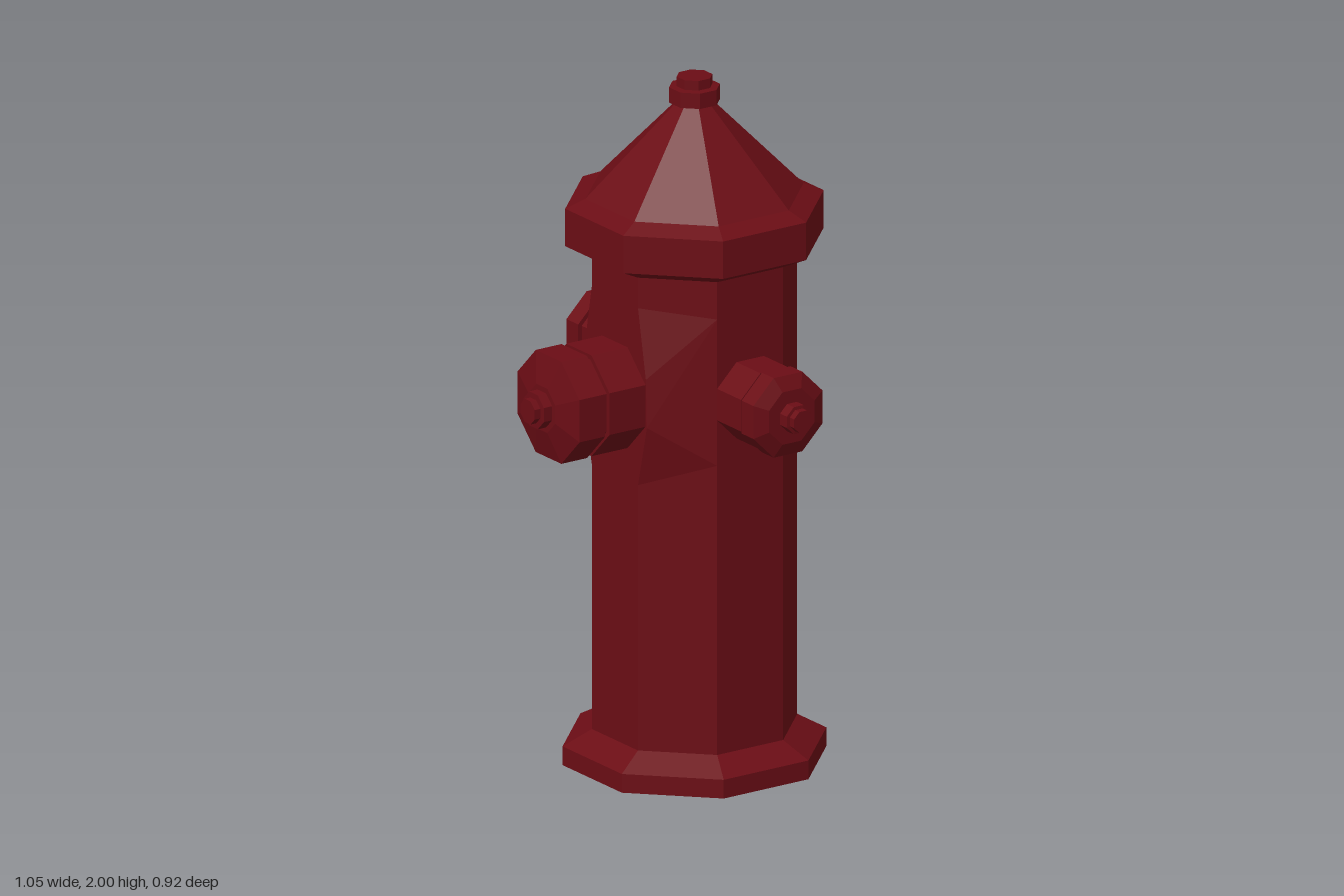
import * as THREE from 'three';
import { ConvexGeometry } from 'three/addons/geometries/ConvexGeometry.js';

const red = new THREE.MeshStandardMaterial({ color: 0x6b0d15, flatShading: true });

// Octagonal solid of revolution; profile is [distance to flat side, height]
function octagon(name, profile) {
  const points = profile.map(([r, y]) => new THREE.Vector2(r / Math.cos(Math.PI / 8), y));
  const mesh = new THREE.Mesh(new THREE.LatheGeometry(points, 8, Math.PI / 8), red);
  mesh.name = name;
  return mesh;
}

// Outlet along +z: neck, grooved cap and end nut, turned about y
function outlet(name, y, turn, neck, cap, nut) {
  const group = new THREE.Group();
  group.name = name;
  group.add(octagon('neck', neck), octagon('outletCap', cap), octagon('outletNut', nut));
  group.children.forEach((m) => { m.rotation.x = Math.PI / 2; });
  group.position.y = y;
  group.rotation.y = turn;
  return group;
}

export function createModel() {
  const model = new THREE.Group();
  model.name = 'fireHydrant';
  const hydrant = new THREE.Group();
  hydrant.name = 'hydrant';
  hydrant.position.z = -0.107;
  hydrant.rotation.y = -0.017;
  model.add(hydrant);

  // Foot, barrel and bonnet
  hydrant.add(
    octagon('base', [[0, 0], [0.347, 0], [0.347, 0.055], [0.27, 0.1], [0, 0.1]]),
    octagon('barrel', [[0.27, 0.08], [0.27, 1.5]]),
    octagon('bonnet', [[0, 1.49], [0.27, 1.49], [0.34, 1.525], [0.34, 1.635],
      [0.287, 1.66], [0.045, 1.927], [0, 1.927]]),
    octagon('topNut', [[0, 1.925], [0.067, 1.925], [0.067, 1.97], [0.047, 1.972],
      [0.047, 2], [0, 2]]),
  );

  // Front corners of the barrel swell to meet the wide front outlet
  for (const s of [-1, 1]) {
    const corners = [
      [0.112, 0.88, 0.27], [0.112, 1.4, 0.27], [0.155, 1.06, 0.27],
      [0.15, 1.2, 0.27], [0.27, 0.95, 0.112], [0.27, 1.38, 0.112],
    ].map(([x, y, z]) => new THREE.Vector3(s * x, y, z));
    const swell = new THREE.Mesh(new ConvexGeometry(corners), red);
    swell.name = s > 0 ? 'leftSwell' : 'rightSwell';
    hydrant.add(swell);
  }

  // Large front outlet
  hydrant.add(outlet('frontOutlet', 1.123, 0,
    [[0.148, 0.2], [0.148, 0.392], [0.134, 0.392], [0.134, 0.41]],
    [[0, 0.408], [0.15, 0.408], [0.15, 0.495], [0.065, 0.518], [0, 0.518]],
    [[0.05, 0.51], [0.05, 0.546], [0.034, 0.547], [0.034, 0.566], [0, 0.566]]));

  // Smaller side outlets
  for (const s of [-1, 1]) {
    hydrant.add(outlet(s > 0 ? 'leftOutlet' : 'rightOutlet', 1.13, s * Math.PI / 2,
      [[0.112, 0.2], [0.112, 0.386], [0.103, 0.386], [0.103, 0.4]],
      [[0, 0.396], [0.117, 0.396], [0.117, 0.453], [0.077, 0.472], [0, 0.472]],
      [[0.04, 0.468], [0.04, 0.505], [0.031, 0.506], [0.031, 0.527], [0, 0.527]]));
  }
  return model;
}
